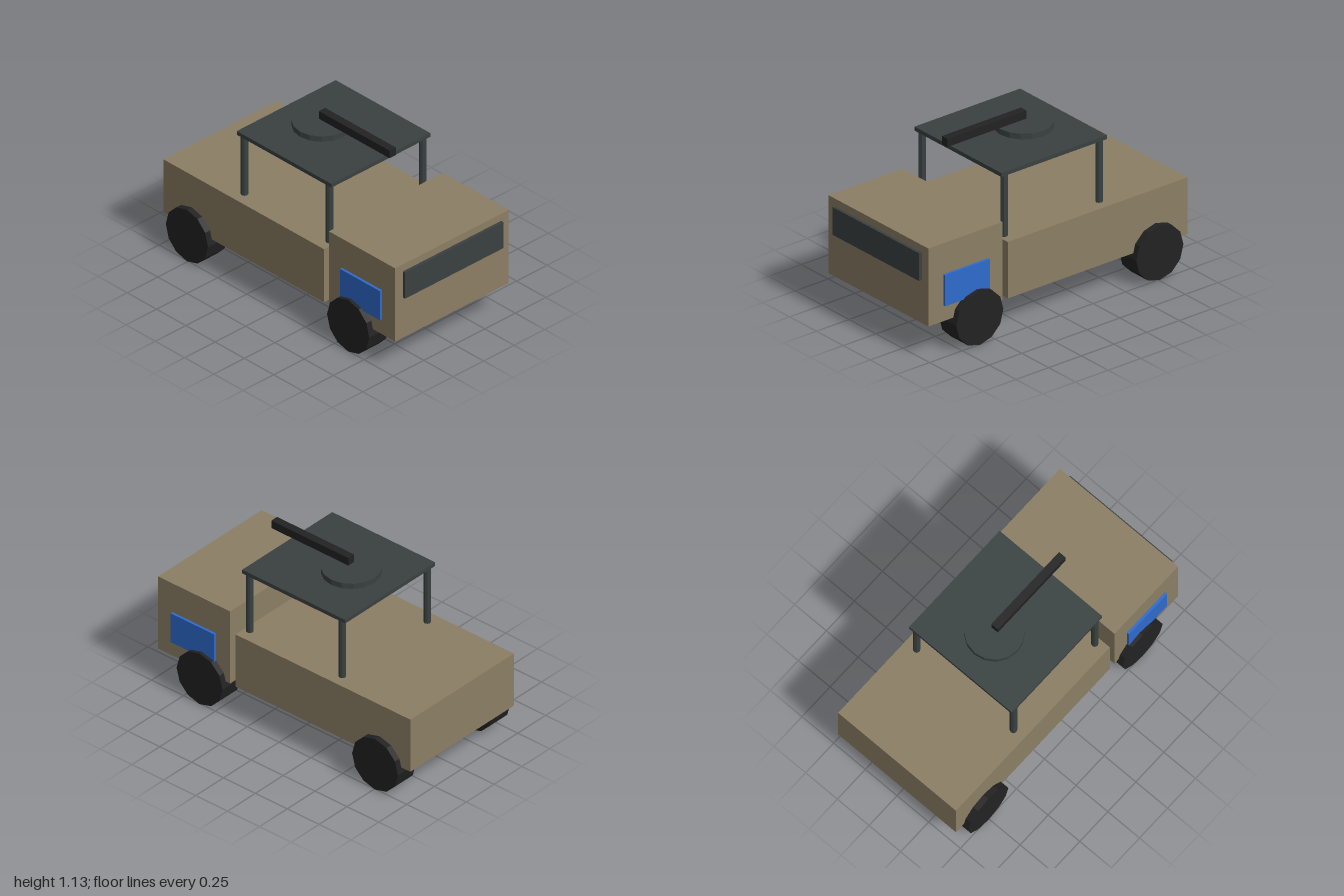
import * as THREE from 'three';

export function createModel() {
  const model = new THREE.Group();
  const paint = (name, color, flatShading = false) => {
    const m = new THREE.MeshStandardMaterial({ color, flatShading });
    m.name = name;
    return m;
  };
  const tan = paint('tan paint', 0x8c7e64);
  const slate = paint('slate metal', 0x3a4141, true);
  const black = paint('black rubber', 0x222222, true);
  const blue = paint('blue panel', 0x2e6bcd);

  const add = (name, geometry, material, x, y, z) => {
    const mesh = new THREE.Mesh(geometry, material);
    mesh.name = name;
    mesh.position.set(x, y, z);
    model.add(mesh);
    return mesh;
  };
  // Box given by its lower and upper limits on each axis
  const box = (name, material, [x0, x1], [y0, y1], [z0, z1]) =>
    add(name, new THREE.BoxGeometry(x1 - x0, y1 - y0, z1 - z0), material,
      (x0 + x1) / 2, (y0 + y1) / 2, (z0 + z1) / 2);

  // Bodywork
  box('cab', tan, [-0.465, 0.465], [0.22, 0.733], [0.415, 0.98]);
  box('rearBody', tan, [-0.465, 0.465], [0.217, 0.588], [-1, 0.373]);
  box('windscreen', slate, [-0.403, 0.403], [0.502, 0.684], [0.97, 1]);

  // Roof and weapon mount
  box('roof', slate, [-0.405, 0.405], [0.993, 1.019], [-0.435, 0.373]);
  add('turretRing', new THREE.CylinderGeometry(0.18, 0.18, 0.068, 16), slate, 0, 1.022, -0.13);
  box('barrel', black, [-0.026, 0.026], [1.079, 1.132], [-0.13, 0.475]);

  // Side panels, wheels and roof posts, mirrored left and right
  const wheel = new THREE.CylinderGeometry(0.18, 0.18, 0.16, 12).rotateZ(Math.PI / 2);
  const post = new THREE.CylinderGeometry(0.0225, 0.0225, 0.43, 8);
  for (const [side, s] of [['left', 1], ['right', -1]]) {
    const xs = s > 0 ? [0.455, 0.482] : [-0.482, -0.455];
    box(side + 'DoorPanel', blue, xs, [0.324, 0.529], [0.525, 0.866]);
    for (const [end, wz, pz] of [['Front', 0.62, 0.333], ['Rear', -0.757, -0.393]]) {
      add(side + end + 'Wheel', wheel, black, s * 0.425, 0.183, wz);
      add(side + end + 'Post', post, slate, s * 0.382, 0.785, pz);
    }
  }
  return model;
}
